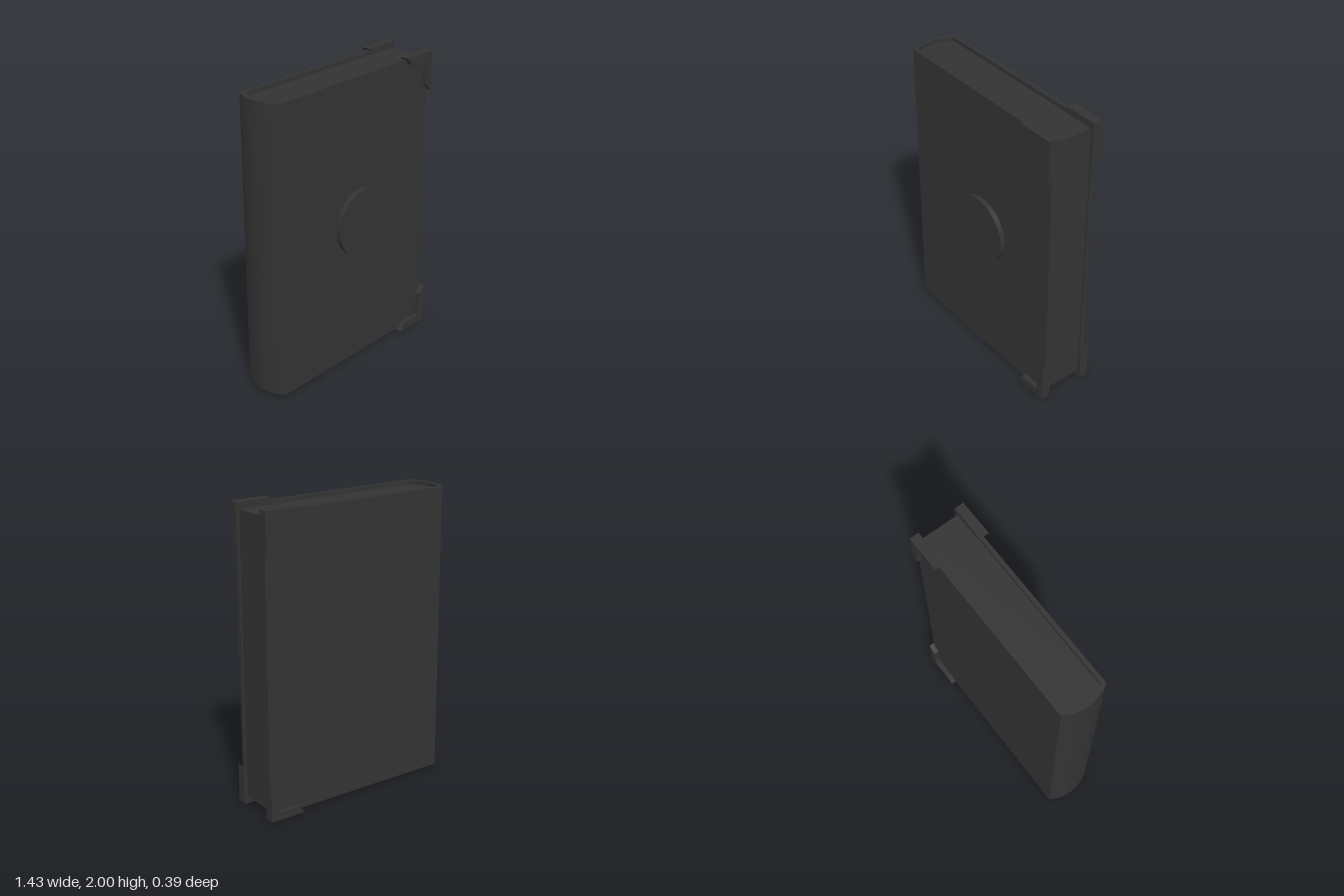
import * as THREE from 'three';
import { toCreasedNormals } from 'three/addons/utils/BufferGeometryUtils.js';

const material = new THREE.MeshStandardMaterial({ color: 0x333333 });

const COVER = { right: 0.705, shoulder: -0.67, tip: -0.718, half: 0.162 };
const PAGES = { right: 0.691, shoulder: -0.656, tip: -0.69, half: 0.135 };

// Plan outline from the fore-edge, round the curved spine, and back again
function bookOutline({ right, shoulder, tip, half }, segments = 8) {
  const sag = shoulder - tip;
  const radius = (half * half + sag * sag) / (2 * sag);
  const sweep = Math.asin(half / radius);
  const points = [new THREE.Vector2(right, half)];
  for (let i = 0; i <= segments; i++) {
    const a = sweep * (1 - (2 * i) / segments);
    points.push(new THREE.Vector2(tip + radius * (1 - Math.cos(a)), radius * Math.sin(a)));
  }
  points.push(new THREE.Vector2(right, -half));
  return points;
}

// Extrudes a plan outline upwards from bottom to top
function extrudeUp(points, bottom, top) {
  const geometry = new THREE.ExtrudeGeometry(new THREE.Shape(points), {
    depth: top - bottom, bevelEnabled: false,
  });
  geometry.rotateX(-Math.PI / 2).translate(0, bottom, 0);
  return toCreasedNormals(geometry, 0.6);
}

function addMesh(group, name, geometry) {
  const mesh = new THREE.Mesh(geometry, material);
  mesh.name = name;
  group.add(mesh);
  return mesh;
}

export function createModel() {
  const book = new THREE.Group();
  book.name = 'book';

  // Cover boards and rounded spine as one open wrap
  const inside = bookOutline({ ...PAGES, right: COVER.right }).reverse();
  addMesh(book, 'cover', extrudeUp([...bookOutline(COVER), ...inside], 0.017, 1.983));

  // Page block, set back from the cover's edges
  addMesh(book, 'pages', extrudeUp(bookOutline(PAGES), 0.048, 1.955));

  // Round medallion on the front board
  const medallion = addMesh(book, 'medallion', new THREE.CylinderGeometry(0.227, 0.227, 0.045, 48));
  medallion.rotation.x = Math.PI / 2;
  medallion.position.set(0.047, 1.004, 0.1725);

  // L-shaped corner guards with slanted ends; y is measured from mid-height
  const guardShape = new THREE.Shape([
    [0.716, 1], [0.464, 1], [0.507, 0.948], [0.661, 0.948], [0.661, 0.78], [0.716, 0.73],
  ].map(([x, y]) => new THREE.Vector2(x, y)));
  const guardDepth = 0.064;
  const guard = new THREE.ExtrudeGeometry(guardShape, { depth: guardDepth, bevelEnabled: false });
  guard.translate(0, 0, -guardDepth / 2);
  for (const [side, z] of [['Front', 0.163], ['Back', -0.163]]) {
    for (const [end, turn] of [['top', 0], ['bottom', Math.PI]]) {
      const mesh = addMesh(book, `${end}${side}CornerGuard`, guard);
      mesh.position.set(0, 1, z);
      mesh.rotation.x = turn;
    }
  }
  return book;
}
